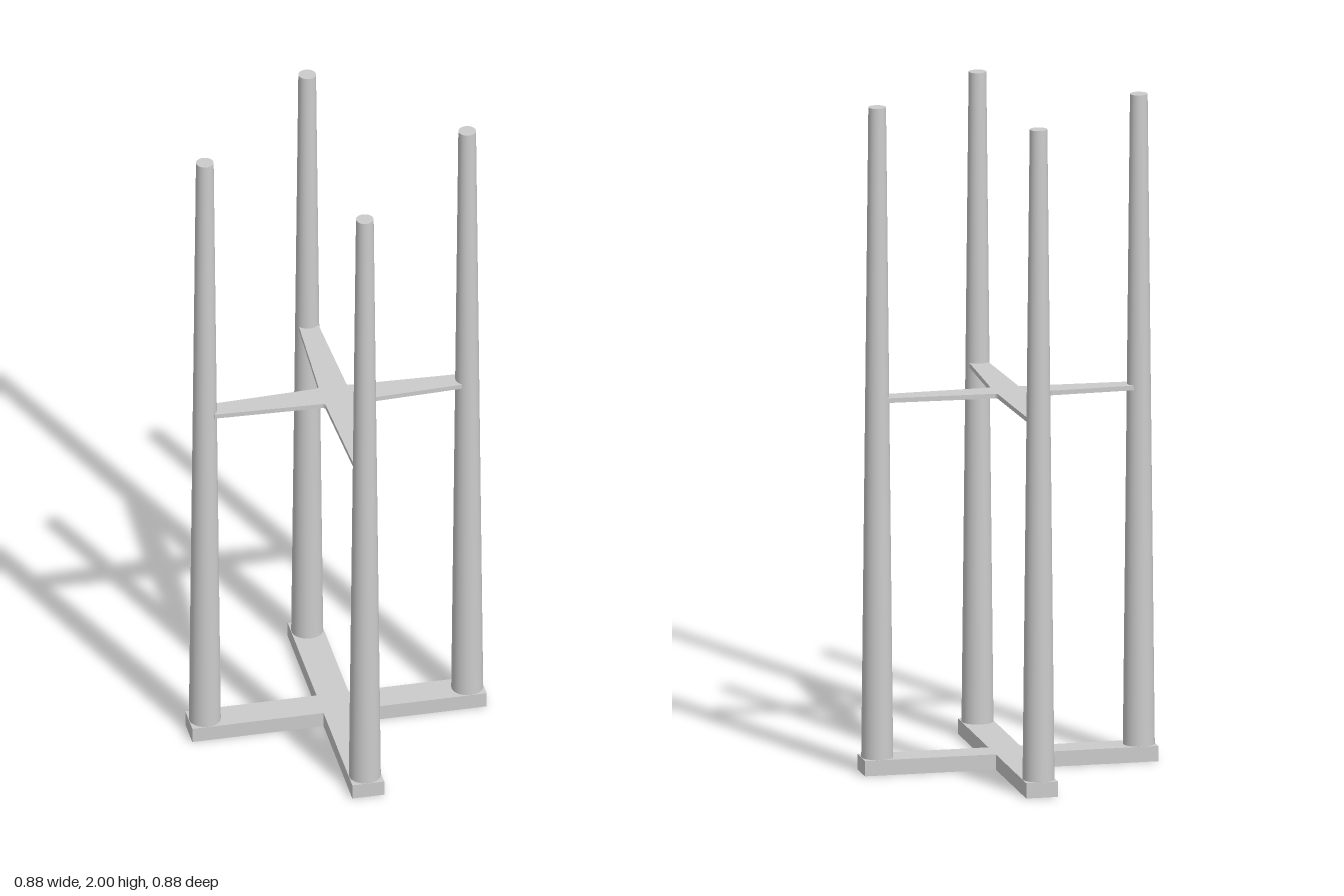
import * as THREE from 'three';

const material = new THREE.MeshStandardMaterial({ color: 0xcccccc });

// Four-armed plan outline: each arm tapers from halfIn to halfOut, with cut inner corners
function crossShape(length, halfIn, halfOut, cut) {
  const points = [];
  for (let i = 0; i < 4; i++) {
    const a = (i * Math.PI) / 2;
    const arm = [
      [halfIn + cut, -halfIn + cut / 4],
      [length, -halfOut],
      [length, halfOut],
      [halfIn + cut, halfIn - cut / 4],
    ];
    if (cut === 0) arm.pop(); // neighbouring arms share the corner point
    for (const [x, y] of arm) {
      points.push(new THREE.Vector2(
        x * Math.cos(a) - y * Math.sin(a),
        x * Math.sin(a) + y * Math.cos(a),
      ));
    }
  }
  return new THREE.Shape(points);
}

function crossPlate(name, shape, bottom, height) {
  const geometry = new THREE.ExtrudeGeometry(shape, { depth: height, bevelEnabled: false });
  geometry.rotateX(-Math.PI / 2);
  const mesh = new THREE.Mesh(geometry, material);
  mesh.name = name;
  mesh.position.y = bottom;
  return mesh;
}

export function createModel() {
  const group = new THREE.Group();
  group.name = 'fourPostStand';

  // Heavy cross-shaped foot
  group.add(crossPlate('baseCross', crossShape(0.442, 0.048, 0.048, 0), 0, 0.046));

  // Thin tapered brace tying the posts together
  group.add(crossPlate('upperBrace', crossShape(0.372, 0.043, 0.029, 0.004), 1.115, 0.014));

  // Four tapered round posts, one near the end of each arm
  const bottom = 0.04;
  const postGeometry = new THREE.CylinderGeometry(0.026, 0.047, 2 - bottom, 32);
  ['leftPost', 'frontPost', 'rightPost', 'backPost'].forEach((name, i) => {
    const a = (i * Math.PI) / 2;
    const post = new THREE.Mesh(postGeometry, material);
    post.name = name;
    post.position.set(0.394 * Math.cos(a), (2 + bottom) / 2, 0.394 * Math.sin(a));
    group.add(post);
  });

  return group;
}
